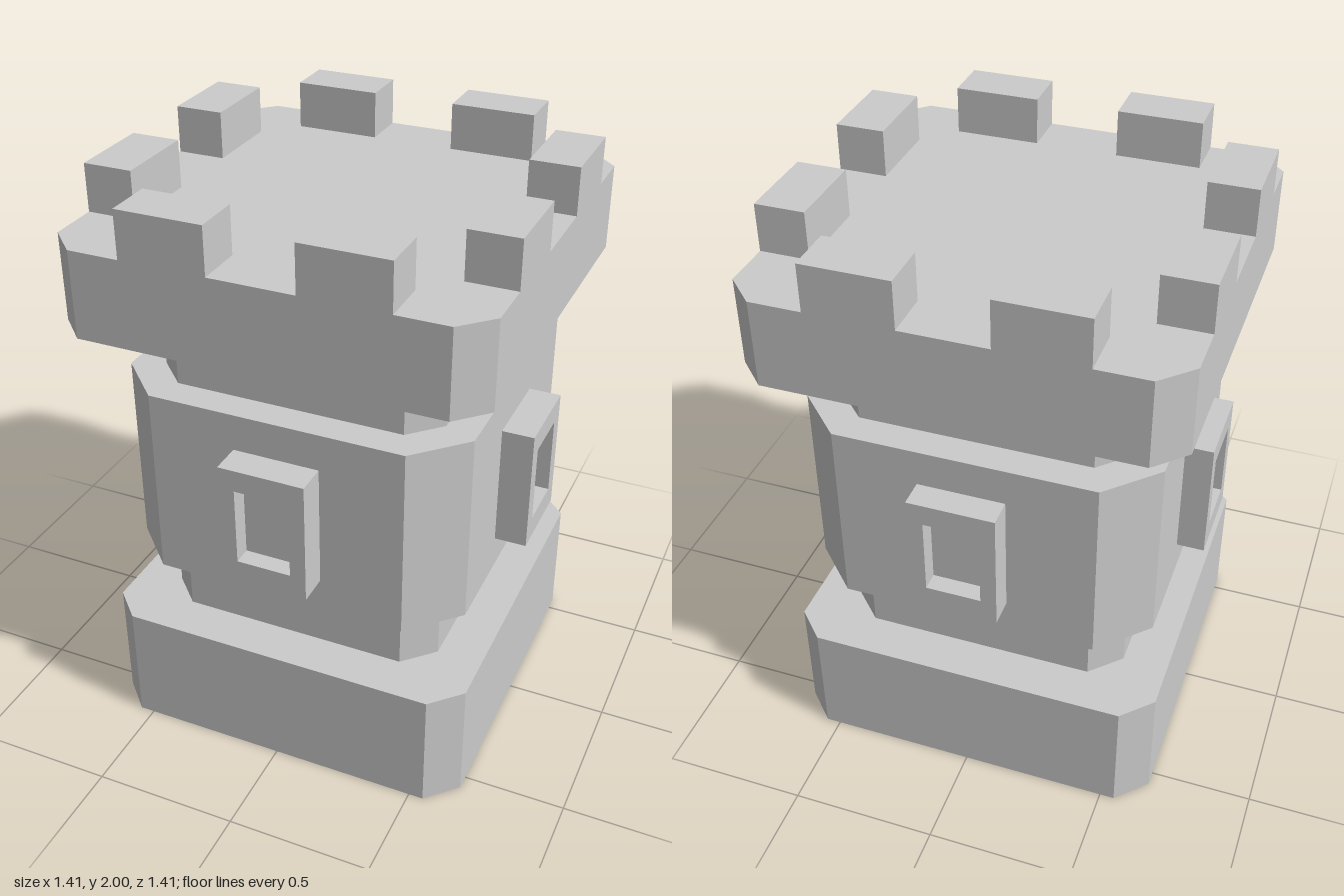
import * as THREE from 'three';

const material = new THREE.MeshStandardMaterial({ color: 0xcccccc, flatShading: true });

function addMesh(parent, geometry, name) {
  const mesh = new THREE.Mesh(geometry, material);
  mesh.name = name;
  parent.add(mesh);
  return mesh;
}

// Square block with chamfered corners, standing between two heights
function chamferedBlock(half, chamfer, bottom, top) {
  const h = half, c = half - chamfer;
  const corners = [[c, -h], [h, -c], [h, c], [c, h], [-c, h], [-h, c], [-h, -c], [-c, -h]];
  const shape = new THREE.Shape(corners.map(([x, y]) => new THREE.Vector2(x, y)));
  return new THREE.ExtrudeGeometry(shape, { depth: top - bottom, bevelEnabled: false })
    .rotateX(-Math.PI / 2)
    .translate(0, bottom, 0);
}

function rectangle(target, x, bottom, top) {
  target.moveTo(-x, bottom);
  target.lineTo(x, bottom);
  target.lineTo(x, top);
  target.lineTo(-x, top);
  target.closePath();
  return target;
}

export function createModel() {
  const tower = new THREE.Group();
  tower.name = 'castleTower';

  // Stacked tiers: name, half width, chamfer, bottom, top
  const tiers = [
    ['base', 0.65, 0.1, 0, 0.43],
    ['lowerNeck', 0.495, 0.1, 0.43, 0.655],
    ['body', 0.597, 0.16, 0.655, 1.325],
    ['upperNeck', 0.49, 0.1, 1.325, 1.545],
    ['parapet', 0.703, 0.098, 1.545, 1.84],
  ];
  for (const [name, ...size] of tiers) addMesh(tower, chamferedBlock(...size), name);

  // Window frame with a shallow recess
  const outline = rectangle(new THREE.Shape(), 0.147, 0.772, 1.198);
  outline.holes.push(rectangle(new THREE.Path(), 0.093, 0.852, 1.122));
  const frameGeometry = new THREE.ExtrudeGeometry(outline, { depth: 0.118, bevelEnabled: false })
    .translate(0, 0, 0.58);
  const paneGeometry = new THREE.BoxGeometry(0.2, 0.28, 0.055).translate(0, 0.987, 0.6075);
  const merlonGeometry = new THREE.BoxGeometry(0.29, 0.16, 0.165).translate(0, 1.92, 0.6205);

  // Four windows and two merlons on each side
  const windows = new THREE.Group();
  windows.name = 'windows';
  windows.position.set(0.007, 0, 0.007);
  const battlements = new THREE.Group();
  battlements.name = 'battlements';
  tower.add(windows, battlements);

  for (let side = 0; side < 4; side++) {
    const angle = side * Math.PI / 2;
    const opening = new THREE.Group();
    opening.name = 'window';
    opening.rotation.y = angle;
    addMesh(opening, frameGeometry, 'windowFrame');
    addMesh(opening, paneGeometry, 'windowPane');
    windows.add(opening);

    const row = new THREE.Group();
    row.name = 'merlonRow';
    row.rotation.y = angle;
    for (const x of [-0.287, 0.287]) addMesh(row, merlonGeometry, 'merlon').position.x = x;
    battlements.add(row);
  }
  return tower;
}
